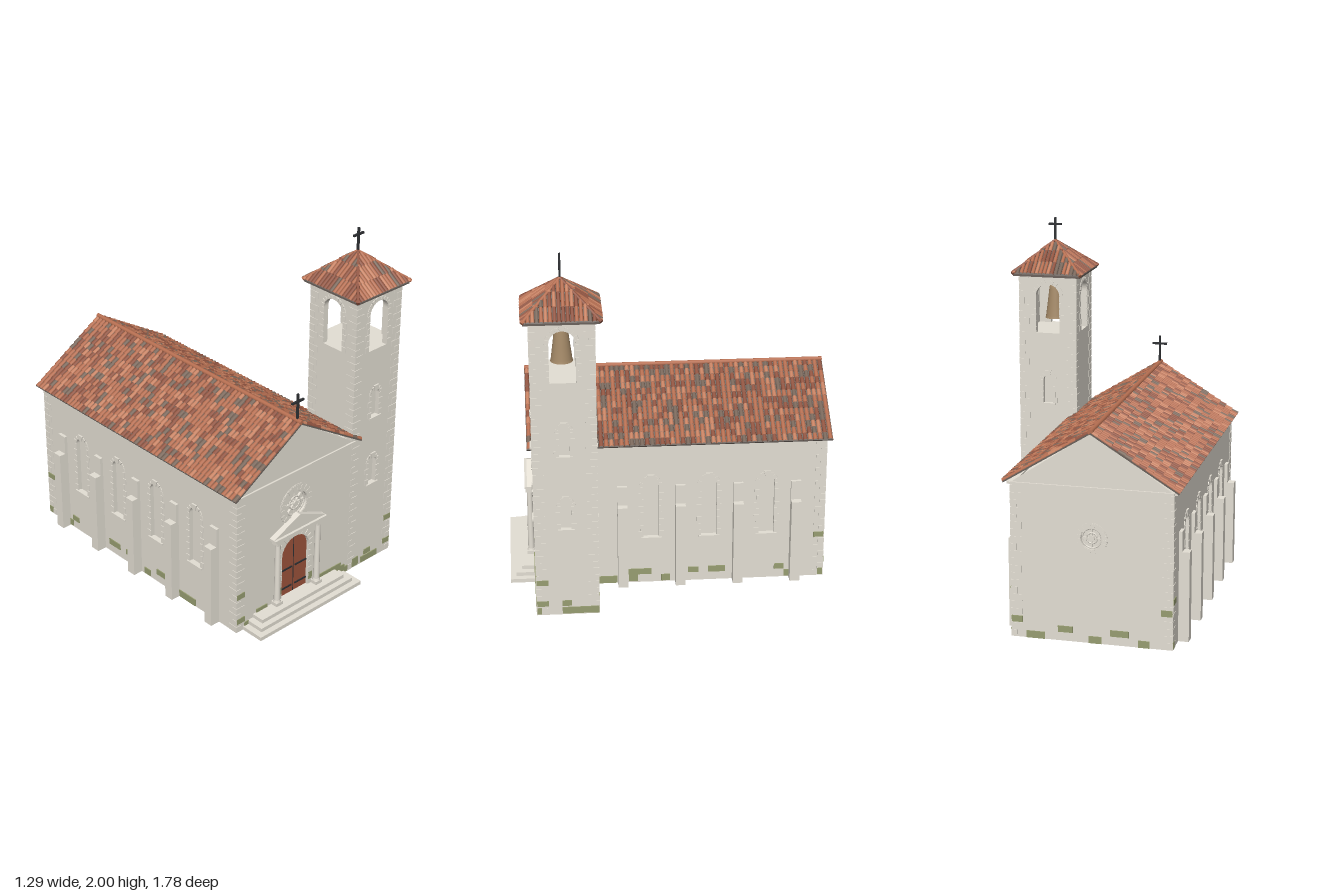
import * as THREE from 'three';
import { mergeGeometries } from 'three/addons/utils/BufferGeometryUtils.js';

const mat = (name, color, side = THREE.FrontSide) => {
  const m = new THREE.MeshStandardMaterial({ color, side });
  m.name = name;
  return m;
};

export function createModel() {
  const stone = mat('stone', 0xe4dfd4);
  const moss = mat('moss', 0x989e72);
  const tileMats = [
    mat('terracotta', 0xb87052, THREE.DoubleSide), mat('dark terracotta', 0x935642, THREE.DoubleSide),
    mat('light terracotta', 0xca8464, THREE.DoubleSide), mat('weathered tile', 0x7c695c, THREE.DoubleSide)];
  const deckMat = mat('roof deck', 0x6b625c);
  const wood = mat('door wood', 0x9c533b);
  const iron = mat('iron', 0x2e3033);
  const bronze = mat('bronze', 0xa58a68, THREE.DoubleSide);

  const model = new THREE.Group();
  model.name = 'church';
  let seed = 7;
  const rnd = () => (seed = (seed * 16807) % 2147483647) / 2147483647;

  const add = (parent, name, geo, material, x = 0, y = 0, z = 0) => {
    const m = new THREE.Mesh(geo, material);
    m.name = name;
    m.position.set(x, y, z);
    parent.add(m);
    return m;
  };
  const box = (parent, name, material, w, h, d, x, y, z) =>
    add(parent, name, new THREE.BoxGeometry(w, h, d), material, x, y, z);
  const group = (parent, name, x = 0, y = 0, z = 0, ry = 0) => {
    const g = new THREE.Group();
    g.name = name;
    g.position.set(x, y, z);
    g.rotation.y = ry;
    parent.add(g);
    return g;
  };
  const extrude = (shape, depth) =>
    new THREE.ExtrudeGeometry(shape, { depth, bevelEnabled: false, curveSegments: 14 });
  const poly = pts => new THREE.Shape(pts.map(p => new THREE.Vector2(...p)));

  // Opening outlines: round-headed arch, or a circle when r is given
  const outline = (o, Type) => {
    const p = new Type();
    if (o.r) return p.absarc(o.x, o.y, o.r, 0, Math.PI * 2), p;
    const a = o.w / 2;
    p.moveTo(o.x - a, o.y0);
    p.lineTo(o.x + a, o.y0);
    p.lineTo(o.x + a, o.y1 - a);
    p.absarc(o.x, o.y1 - a, a, 0, Math.PI, false);
    p.closePath();
    return p;
  };

  // Raised ring of wedge blocks
  const voussoirs = (g, x, y, r, band, n, sweep, d) => {
    for (let i = 0; i < n; i++) {
      const a = (i + 0.5) / n * sweep, rr = r + band / 2;
      box(g, 'archBlock', stone, band, rr * sweep / n * 0.86, 0.008,
        x + rr * Math.cos(a), y + rr * Math.sin(a), d).rotation.z = a;
    }
  };

  // Wall panel with recessed openings and their stone surrounds; outer surface at local z = d
  const T = 0.03;
  const wall = (g, name, half, h, d, openings) => {
    const s = poly([[-half, 0], [half, 0], [half, h], [-half, h]]);
    openings.forEach(o => s.holes.push(outline(o, THREE.Path)));
    add(g, name, extrude(s, T), stone, 0, 0, d - T);
    for (const o of openings) {
      if (o.r) {
        const rim = outline({ ...o, r: o.r + o.band }, THREE.Shape);
        rim.holes.push(outline(o, THREE.Path));
        add(g, 'roseRim', extrude(rim, 0.006), stone, 0, 0, d - 0.003);
        voussoirs(g, o.x, o.y, o.r + 0.003, o.band - 0.008, 20, Math.PI * 2, d + 0.001);
        for (const k of [0.93, 0.5])
          add(g, 'roseRing', new THREE.TorusGeometry(o.r * k, 0.005, 6, 32), stone, o.x, o.y, d - 0.012);
        for (let i = 0; i < 8; i++) {
          const a = i * Math.PI / 4;
          box(g, 'roseSpoke', stone, o.r * 0.9, 0.007, 0.012,
            o.x + Math.cos(a) * o.r / 2, o.y + Math.sin(a) * o.r / 2, d - 0.014).rotation.z = a;
        }
        add(g, 'roseHub', new THREE.CylinderGeometry(0.015, 0.015, 0.024, 16).rotateX(Math.PI / 2),
          stone, o.x, o.y, d - 0.012);
        continue;
      }
      const a = o.w / 2, spring = o.y1 - a, n = Math.max(2, Math.round((spring - o.y0) / 0.038));
      const step = (spring - o.y0) / n;
      for (let i = 0; i < n; i++) for (const sx of [-1, 1]) {
        const bw = i % 2 ? 0.016 : 0.028;
        box(g, 'jambBlock', stone, bw, step * 0.88, 0.008, o.x + sx * (a + bw / 2), o.y0 + (i + 0.5) * step, d);
      }
      voussoirs(g, o.x, spring, a, o.band ?? 0.022, o.w > 0.1 ? 11 : 7, Math.PI, d);
      if (o.sill) {
        box(g, 'sill', stone, o.w + 0.032, 0.01, 0.024, o.x, o.y0 - 0.003, d);
        add(g, 'keystone', extrude(poly([[-0.011, 0], [0.011, 0], [0.019, 0.032], [-0.019, 0.032]]), 0.014),
          stone, o.x, o.y1 - 0.004, d - 0.005);
      }
    }
  };

  // Alternating corner blocks
  const quoins = (g, x, z, sx, sz, h) => {
    const n = Math.round(h / 0.04), step = h / n;
    for (let i = 0; i < n; i++) {
      const w = i % 2 ? 0.06 : 0.034, d = i % 2 ? 0.034 : 0.06;
      box(g, 'cornerBlock', stone, w, step * 0.9, d,
        x + sx * (0.003 - w / 2), (i + 0.5) * step, z + sz * (0.003 - d / 2));
    }
  };
  const mossPatches = (g, d, list) => list.forEach(([x, y, w, h]) =>
    box(g, 'mossyBlock', moss, w, h, 0.009, x, y, d + 0.001));

  // Barrel tiles on a slope: x along the eave, y up the slope, z outwards
  const tiles = (g, half, length, cols, rows, hipped) => {
    const buckets = tileMats.map(() => []), pitch = 2 * half / cols, row = length / rows;
    for (let c = 0; c < cols; c++) {
      const u = -half + (c + 0.5) * pitch;
      const top = hipped ? length * (1 - Math.abs(u) / half) : length;
      for (let y = 0; y < top - 0.004; y += row) {
        const len = Math.min(row * 1.08, top - y), p = rnd();
        const geo = new THREE.CylinderGeometry(pitch * 0.4, pitch * 0.49, len, 4, 1, true, -Math.PI / 2, Math.PI);
        geo.rotateX(-0.07).translate(u, y + len / 2, 0.003);
        buckets[p < 0.45 ? 0 : p < 0.7 ? 1 : p < 0.85 ? 2 : 3].push(geo);
      }
    }
    buckets.forEach((b, i) => b.length && add(g, 'roofTiles', mergeGeometries(b), tileMats[i]));
  };
  const slope = (parent, run, rise, y, ry) => {
    const side = group(parent, 'roofSlope', 0, 0, 0, ry);
    const g = group(side, 'slopePlane', 0, y, run);
    g.rotation.x = Math.atan2(rise, run) - Math.PI / 2;
    return g;
  };
  const cross = (x, y0, y1, z, barY, barW) => {
    const g = group(model, 'cross', x, 0, z);
    box(g, 'crossPost', iron, 0.011, y1 - y0, 0.011, 0, (y0 + y1) / 2, 0);
    box(g, 'crossBar', iron, barW, 0.011, 0.011, 0, barY, 0);
  };

  // Nave walls
  const HX = 0.43, HZ = 0.805, CZ = -0.055, H = 0.84;
  const nave = group(model, 'nave', -0.157, 0, CZ);
  box(nave, 'naveCore', stone, 2 * HX - 0.044, H, 2 * HZ - 0.044, 0, H / 2, 0);
  const front = group(nave, 'naveFront');
  const back = group(nave, 'naveBack', 0, 0, 0, Math.PI);
  const door = { x: 0, y0: 0.065, y1: 0.43, w: 0.2, band: 0.035 };
  wall(front, 'frontWall', HX, H, HZ, [door, { x: 0, y: 0.635, r: 0.076, band: 0.045 }]);
  wall(back, 'backWall', HX, H, HZ, [{ x: 0, y: 0.57, r: 0.056, band: 0.03 }]);
  for (const g of [front, back]) {
    add(g, 'gable', extrude(poly([[-HX, H], [HX, H], [0, 1.13]]), T), stone, 0, 0, HZ - T);
    box(g, 'gableCornice', stone, 2 * HX + 0.01, 0.012, 0.02, 0, H, HZ);
  }
  mossPatches(front, HZ, [[-0.402, 0.228, 0.056, 0.032], [-0.402, 0.07, 0.056, 0.032], [-0.36, 0.028, 0.03, 0.034],
    [-0.248, 0.07, 0.08, 0.032], [0.275, 0.07, 0.17, 0.032], [0.352, 0.036, 0.075, 0.055], [0.402, 0.026, 0.026, 0.036],
    [-0.115, 0.12, 0.026, 0.045], [0.117, 0.12, 0.026, 0.045]]);
  mossPatches(back, HZ, [[-0.4, 0.1, 0.06, 0.034], [-0.3, 0.02, 0.1, 0.038], [-0.14, 0.065, 0.08, 0.034],
    [0.02, 0.02, 0.07, 0.038], [0.15, 0.065, 0.1, 0.034], [0.28, 0.02, 0.06, 0.038], [0.4, 0.2, 0.06, 0.034]]);
  for (const s of [1, -1]) {
    const g = group(nave, s > 0 ? 'naveRightSide' : 'naveLeftSide', 0, 0, 0, s * Math.PI / 2);
    const X = z => -s * (z - CZ);
    const windowsZ = [0.105, -0.215, -0.535], buttressZ = [0.265, -0.055, -0.375, -0.695];
    if (s < 0) { windowsZ.push(0.425); buttressZ.push(0.585); }
    wall(g, 'sideWall', HZ, H, HX, windowsZ.map(z => ({ x: X(z), y0: 0.28, y1: 0.635, w: 0.085, sill: true })));
    for (const z of buttressZ) {
      box(g, 'buttress', stone, 0.055, 0.49, 0.065, X(z), 0.245, HX + 0.0245);
      box(g, 'buttressTop', stone, 0.055, 0.11, 0.03, X(z), 0.545, HX + 0.003);
    }
    box(g, 'eaveCornice', stone, 2 * HZ, 0.014, 0.04, 0, H, HX);
    mossPatches(g, HX, [[0.36, 0.024, 0.13, 0.042], [0.185, 0.068, 0.16, 0.034], [0.205, 0.035, 0.05, 0.05],
      [0.025, 0.026, 0.05, 0.038], [-0.057, 0.026, 0.055, 0.038], [-0.13, 0.068, 0.06, 0.032],
      [-0.26, 0.068, 0.095, 0.036], [-0.612, 0.068, 0.055, 0.032],
      [-0.665, 0.026, 0.05, 0.038], [-0.83, 0.26, 0.056, 0.03], [-0.845, 0.026, 0.028, 0.04]]
      .map(([z, ...r]) => [X(z), ...r]));
  }
  for (const [sx, sz] of [[-1, 1], [-1, -1], [1, -1]]) quoins(nave, sx * HX, sz * HZ, sx, sz, 0.83);

  // Nave roof
  const RUN = 0.463, RISE = 0.286, RL = Math.hypot(RUN, RISE), RHZ = 0.833;
  for (const s of [1, -1]) {
    const g = slope(nave, RUN, RISE, 0.849, s * Math.PI / 2);
    box(g, 'roofDeck', deckMat, 2 * RHZ, RL, 0.008, 0, RL / 2, 0);
    tiles(g, RHZ, RL, 60, 13, false);
  }
  add(nave, 'ridgeCap', new THREE.CylinderGeometry(0.013, 0.013, 2 * RHZ, 10).rotateX(Math.PI / 2),
    tileMats[0], 0, 1.142, 0);
  cross(-0.157, 1.14, 1.3, 0.745, 1.255, 0.085);

  // Door leaves with iron straps
  add(front, 'door', extrude(outline(door, THREE.Shape), 0.01), wood, 0, 0, HZ - 0.023);
  for (const y of [0.11, 0.23]) for (const s of [-1, 1])
    box(front, 'doorStrap', iron, 0.085, 0.009, 0.006, s * 0.055, y, HZ - 0.011);
  box(front, 'doorSeam', iron, 0.003, 0.355, 0.004, 0, 0.245, HZ - 0.012);

  // Porch: columns, entablature, pediment
  const porch = group(model, 'porch', -0.157, 0, 0.77);
  for (const s of [-1, 1]) {
    const x = s * 0.15;
    add(porch, 'column', new THREE.CylinderGeometry(0.015, 0.018, 0.38, 16), stone, x, 0.27, 0);
    box(porch, 'columnBase', stone, 0.048, 0.02, 0.046, x, 0.075, 0);
    add(porch, 'columnRing', new THREE.CylinderGeometry(0.019, 0.022, 0.012, 16), stone, x, 0.091, 0);
    box(porch, 'capital', stone, 0.048, 0.016, 0.046, x, 0.464, 0);
  }
  box(porch, 'entablature', stone, 0.36, 0.016, 0.046, 0, 0.48, 0);
  box(porch, 'entablatureCap', stone, 0.385, 0.012, 0.054, 0, 0.492, 0);
  add(porch, 'pediment', extrude(poly([[-0.19, 0.498], [0.19, 0.498], [0, 0.582]]), 0.035), stone, 0, 0, -0.022);

  // Entrance steps
  [[0.383, 0.89], [0.347, 0.857], [0.31, 0.825]].forEach(([half, z1], i) =>
    box(model, 'step', stone, 2 * half, 0.022, z1 - 0.74, -0.157, 0.011 + i * 0.0217, (z1 + 0.74) / 2));

  // Bell tower
  const TH = 0.168, TOP = 1.69;
  const tower = group(model, 'bellTower', 0.43, 0, 0.58);
  box(tower, 'towerCore', stone, 2 * TH - 0.044, 1.355, 2 * TH - 0.044, 0, 0.6775, 0);
  const slits = [0.515, 0.94].map(y0 => ({ x: 0, y0, y1: y0 + 0.167, w: 0.056, sill: true }));
  const belfry = { x: 0, y0: 1.355, y1: 1.64, w: 0.138 };
  const towerMoss = [
    [[0.142, 0.228, 0.052, 0.032], [-0.107, 0.036, 0.045, 0.055], [0.005, 0.026, 0.13, 0.038], [-0.012, 0.068, 0.05, 0.032],
      [0.142, 0.07, 0.052, 0.032]],
    [[-0.135, 0.197, 0.064, 0.03], [-0.135, 0.07, 0.064, 0.032], [-0.155, 0.026, 0.025, 0.038], [-0.005, 0.07, 0.052, 0.032],
      [0.047, 0.026, 0.155, 0.038], [0.146, 0.026, 0.044, 0.042]],
    [[0.02, 0.02, 0.1, 0.038], [-0.12, 0.08, 0.06, 0.034]], []];
  for (let i = 0; i < 4; i++) {
    const g = group(tower, 'towerSide', 0, 0, 0, i * Math.PI / 2);
    wall(g, 'towerWall', TH, TOP, TH, i < 3 ? [...slits, belfry] : [belfry]);
    mossPatches(g, TH, towerMoss[i]);
  }
  for (const sx of [-1, 1]) for (const sz of [-1, 1]) quoins(tower, sx * TH, sz * TH, sx, sz, 1.68);

  // Bell
  const profile = [[0.06, 1.415], [0.056, 1.43], [0.047, 1.5], [0.036, 1.59], [0.03, 1.622], [0, 1.634]];
  add(tower, 'bell', new THREE.LatheGeometry(profile.map(p => new THREE.Vector2(...p)), 28), bronze);
  add(tower, 'bellRod', new THREE.CylinderGeometry(0.006, 0.006, 0.07, 8), iron, 0, 1.66, 0);

  // Tower roof
  const TR = 0.202, TRISE = 0.17;
  box(tower, 'towerEave', deckMat, 0.394, 0.012, 0.394, 0, 1.69, 0);
  add(tower, 'towerRoofDeck', new THREE.ConeGeometry(TR * Math.SQRT2, TRISE, 4, 1).toNonIndexed().rotateY(Math.PI / 4),
    deckMat, 0, 1.697 + TRISE / 2, 0).geometry.computeVertexNormals();
  const hipLength = Math.hypot(TR, TR, TRISE);
  for (let i = 0; i < 4; i++) {
    tiles(slope(tower, TR, TRISE, 1.697, i * Math.PI / 2), TR, Math.hypot(TR, TRISE), 18, 3, true);
    const hip = add(tower, 'hipCap', new THREE.CylinderGeometry(0.008, 0.01, hipLength, 8), tileMats[i % 2]);
    const a = Math.PI / 4 + i * Math.PI / 2, r = TR * Math.SQRT2;
    const corner = new THREE.Vector3(r * Math.cos(a), 1.699, r * Math.sin(a));
    const apex = new THREE.Vector3(0, 1.699 + TRISE, 0);
    hip.position.copy(corner).lerp(apex, 0.5);
    hip.quaternion.setFromUnitVectors(new THREE.Vector3(0, 1, 0), apex.sub(corner).normalize());
  }
  cross(0.43, 1.86, 2, 0.58, 1.962, 0.076);
  return model;
}
